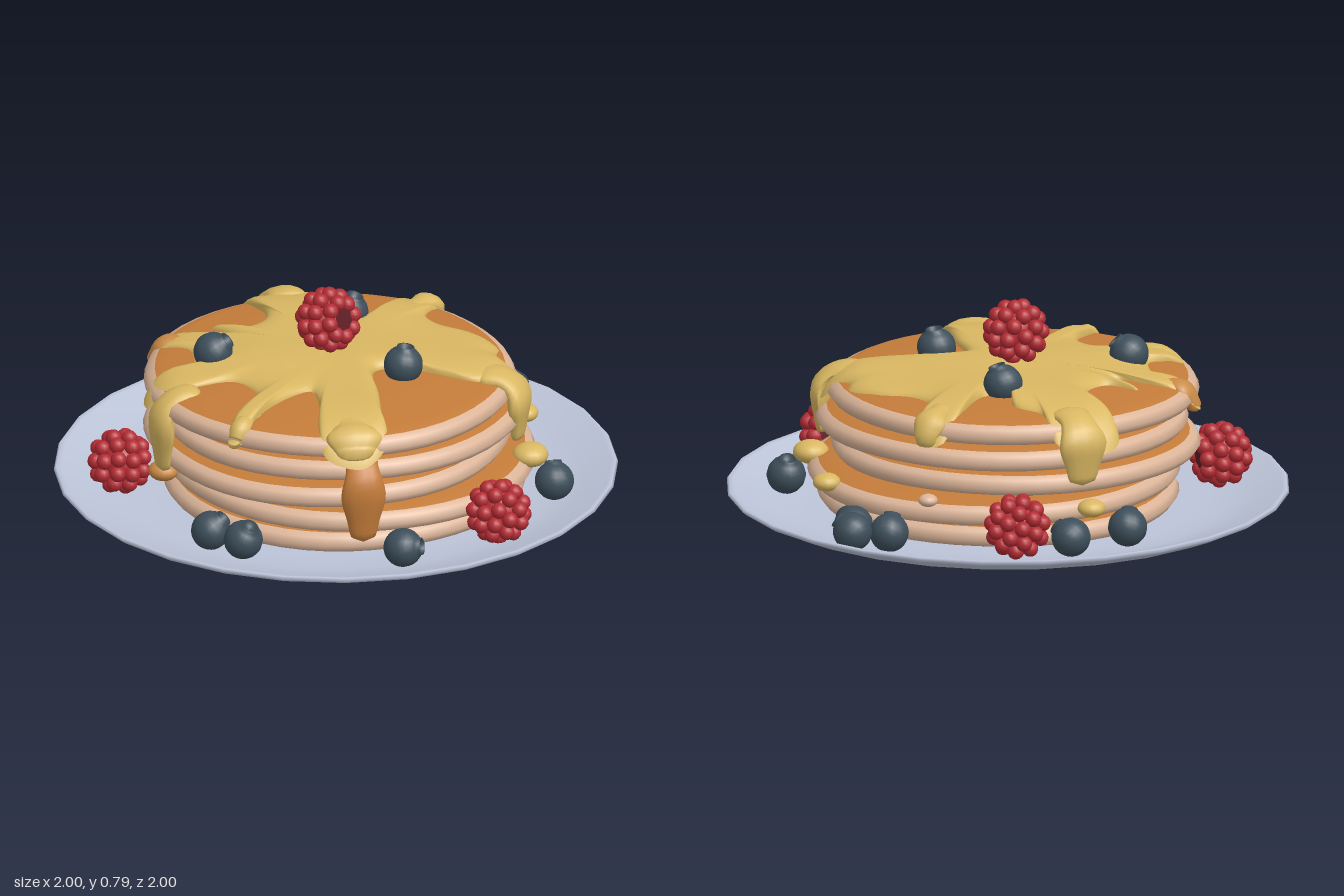
import * as THREE from 'three';

const mat = (name, color, side = THREE.FrontSide) => {
  const m = new THREE.MeshStandardMaterial({ color, side });
  m.name = name;
  return m;
};
const V2 = (pts) => pts.map(([x, y]) => new THREE.Vector2(x, y));

export function createModel() {
  const root = new THREE.Group();
  root.name = 'pancakeStack';
  const plateMat = mat('plateBlueGrey', 0xbcc4d8);
  const crust = mat('pancakeBrown', 0xc47c3a);
  const batter = mat('pancakeTan', 0xdcb599);
  const syrupMat = mat('syrupGold', 0xd9b762, THREE.DoubleSide);
  const amber = mat('syrupAmber', 0xc98a45);
  const blue = mat('blueberry', 0x3d4e5a);
  const red = mat('raspberry', 0xb32c34);
  const darkRed = mat('raspberryHollow', 0x5e1c22);

  const add = (parent, name, geo, material, pos = [0, 0, 0]) => {
    const m = new THREE.Mesh(geo, material);
    m.name = name;
    m.position.set(...pos);
    parent.add(m);
    return m;
  };

  // Plate
  add(root, 'plate', new THREE.LatheGeometry(V2([
    [0, 0], [0.6, 0], [0.72, 0.004], [0.8, 0.02], [0.9, 0.05], [0.99, 0.088], [1.005, 0.1],
    [0.998, 0.11], [0.98, 0.107], [0.88, 0.07], [0.78, 0.047], [0.66, 0.04], [0, 0.04],
  ]), 28, Math.PI / 28), plateMat);

  // Pancakes: brown faces with a tan rim, each slightly uneven
  const profiles = [
    ['bottomFace', crust, [[0, 0], [0.57, 0], [0.61, 0.012]]],
    ['rim', batter, [[0.61, 0.012], [0.645, 0.022], [0.664, 0.048], [0.65, 0.076], [0.625, 0.088]]],
    ['topFace', crust, [[0.625, 0.088], [0.58, 0.101], [0.4, 0.117], [0.2, 0.127], [0, 0.13]]],
  ];
  // base x, y, z and radius scale
  [[0.01, 0.03, 0.03, 0.97], [0.03, 0.115, 0.05, 1], [-0.04, 0.217, 0.0, 0.99],
    [0.0, 0.315, 0.02, 1], [-0.03, 0.41, 0, 1]].forEach(([x, y, z, s], i) => {
    const cake = new THREE.Group();
    cake.name = 'pancake' + (i + 1);
    cake.position.set(x, y, z);
    for (const [name, material, pts] of profiles) {
      const geo = new THREE.LatheGeometry(V2(pts), 48);
      const p = geo.attributes.position;
      for (let k = 0; k < p.count; k++) {
        const a = Math.atan2(p.getX(k), p.getZ(k));
        const f = s * (1 + 0.008 * Math.sin(3 * a + i * 2) + 0.006 * Math.sin(5 * a + i));
        p.setX(k, p.getX(k) * f);
        p.setZ(k, p.getZ(k) * f);
      }
      add(cake, name, geo, material);
    }
    root.add(cake);
  });

  // Syrup pool: outline as [degrees clockwise from the back, radius]
  const outline = [
    [-31, 0.66], [-25, 0.7], [-22, 0.63], [-21.5, 0.5], [-21, 0.42], [-18, 0.4], [-12, 0.52],
    [-9, 0.41], [4, 0.39], [13, 0.45], [14.5, 0.58], [17, 0.68], [25, 0.7], [37, 0.66],
    [38.5, 0.61], [39.7, 0.53], [49.5, 0.45], [52, 0.33], [67, 0.36], [73, 0.65], [83, 0.655],
    [88, 0.49], [100, 0.47], [113, 0.54], [125.5, 0.6], [133, 0.58], [142, 0.67], [152, 0.635],
    [158, 0.55], [160, 0.44], [163, 0.3], [185, 0.21], [203, 0.38], [209, 0.54], [211, 0.66],
    [219, 0.72], [230, 0.695], [233, 0.6], [235.5, 0.42], [243, 0.335], [255, 0.48],
    [257.5, 0.67], [261.5, 0.67], [266, 0.45], [285, 0.43], [292.5, 0.63], [298, 0.71],
    [305, 0.69], [308, 0.53], [316.5, 0.51], [326, 0.54],
  ];
  const edge = new THREE.CatmullRomCurve3(outline.map(([d, r]) => {
    const a = THREE.MathUtils.degToRad(d);
    return new THREE.Vector3(r * Math.sin(a), 0, -r * Math.cos(a));
  }), true);
  const N = 260;
  const rings = [0.01, 0.2, 0.4, 0.55, 0.68, 0.78, 0.86, 0.92, 0.96, 0.985, 1];
  const pos = [], idx = [];
  rings.forEach((t, j) => {
    for (let k = 0; k < N; k++) {
      const e = edge.getPoint(k / N);
      const x = e.x * t, z = e.z * t, r = Math.hypot(x + 0.03, z);
      const cakeTop = 0.54 - 0.09 * r * r - 4 * Math.max(0, r - 0.56) ** 2;
      const thick = 0.034 + 0.008 * Math.sin(11 * x + 1) * Math.sin(10 * z);
      pos.push(x, cakeTop - 0.008 + (thick + 0.004) * Math.sqrt(1 - t ** 8), z);
      const a = j * N + k, b = j * N + (k + 1) % N;
      if (j < rings.length - 1) idx.push(a, b + N, a + N, a, b, b + N);
    }
  });
  const pool = new THREE.BufferGeometry();
  pool.setAttribute('position', new THREE.Float32BufferAttribute(pos, 3));
  pool.setIndex(idx);
  pool.computeVertexNormals();
  add(root, 'syrupPool', pool, syrupMat);

  // Syrup drips: tapered, widened tubes running over the rim
  const drip = (x, z, width, top, bottom, material) => {
    const R = Math.hypot(x, z), S = 20, Q = 12, rad = 0.038;
    const path = new THREE.CatmullRomCurve3([
      [R - 0.13, top], [R - 0.03, top - 0.005], [R + 0.02, top - 0.05],
      [R + 0.025, (top + bottom) / 2 - 0.01], [R + 0.02, bottom],
    ].map(([r, y]) => new THREE.Vector3(0, y, r)));
    const geo = new THREE.TubeGeometry(path, S, rad, Q);
    const p = geo.attributes.position, v = new THREE.Vector3();
    for (let i = 0; i < p.count; i++) {
      const s = Math.floor(i / (Q + 1)) / S, c = path.getPointAt(s);
      const f = Math.sqrt(Math.max(0, 1 - (2 * s - 1) ** 6)) * (0.86 + 0.14 * Math.cos(s * 11));
      v.fromBufferAttribute(p, i).sub(c).multiplyScalar(f);
      v.x *= width / rad;
      v.add(c);
      p.setXYZ(i, v.x, v.y, v.z);
    }
    geo.computeVertexNormals();
    add(root, 'syrupDrip', geo, material).rotation.y = Math.atan2(x, z);
  };
  drip(0.32, 0.56, 0.1, 0.51, 0.27, syrupMat);
  drip(-0.44, 0.5, 0.1, 0.51, 0.43, syrupMat);
  drip(0.32, -0.57, 0.09, 0.51, 0.28, syrupMat);
  drip(-0.63, -0.23, 0.075, 0.5, 0.22, syrupMat);
  drip(-0.29, -0.58, 0.055, 0.5, 0.41, amber);
  drip(0.62, -0.12, 0.06, 0.51, 0.41, syrupMat);
  drip(-0.65, 0.13, 0.04, 0.5, 0.44, syrupMat);
  drip(-0.42, 0.52, 0.08, 0.41, 0.11, crust);

  // Small syrup blobs resting on the lower pancakes
  const ball = new THREE.SphereGeometry(1, 16, 12);
  [[0.37, 0.205, 0.6, 0.065, syrupMat], [0.63, 0.2, 0.33, 0.05, syrupMat],
    [0.32, 0.2, -0.62, 0.05, syrupMat], [0.65, 0.22, -0.14, 0.035, batter],
    [-0.61, 0.2, -0.27, 0.055, amber]].forEach(([x, y, z, s, m]) =>
    add(root, 'syrupBlob', ball, m, [x, y, z]).scale.set(s, s * 0.65, s));

  // Blueberries: round with a small sunken crown
  const skin = [];
  for (let i = 0; i <= 12; i++) {
    const a = (i / 12) * 2.68;
    skin.push([0.07 * Math.sin(a), -0.07 * Math.cos(a)]);
  }
  skin.push([0.031, 0.071], [0.025, 0.069], [0.02, 0.052], [0, 0.048]);
  const berry = new THREE.LatheGeometry(V2(skin), 18);
  [[0.2, 0.115, -0.69], [0.44, 0.12, -0.62], [0.76, 0.11, -0.05], [0.87, 0.125, 0.03],
    [0.76, 0.11, 0.11], [-0.73, 0.11, 0.07], [-0.71, 0.11, 0.21], [-0.38, 0.115, 0.68],
    [0.41, 0.115, 0.68], [-0.33, 0.565, -0.29], [0.25, 0.565, -0.17], [0.04, 0.57, 0.29],
  ].forEach((p, i) => {
    add(root, 'blueberry', berry, blue, p).rotation.set(0.5 + 0.5 * Math.sin(i * 2.1), i * 1.7, 0.7 * Math.cos(i * 1.3));
  });

  // Raspberries: rings of beads around a hollow core opening along +z
  const bead = new THREE.SphereGeometry(0.029, 12, 9);
  const raspberry = (x, y, z, rx, ry) => {
    const g = new THREE.Group();
    g.name = 'raspberry';
    g.position.set(x, y, z);
    g.rotation.set(rx, ry, 0);
    add(g, 'core', new THREE.SphereGeometry(0.086, 16, 12), red).scale.z = 0.9;
    add(g, 'hollow', new THREE.CircleGeometry(0.04, 16), darkRed, [0, 0, 0.081]);
    [[0, 1], [36, 6], [70, 10], [104, 11], [138, 8]].forEach(([deg, n], row) => {
      const a = THREE.MathUtils.degToRad(deg);
      for (let k = 0; k < n; k++) {
        const b = ((k + row * 0.5) / n) * Math.PI * 2;
        add(g, 'bead', bead, red, [0.092 * Math.sin(a) * Math.cos(b),
          0.092 * Math.sin(a) * Math.sin(b), -0.092 * Math.cos(a)]);
      }
    });
    root.add(g);
  };
  raspberry(-0.02, 0.67, -0.02, -0.3, 0);
  raspberry(0, 0.165, 0.79, 0.3, 2.2);
  raspberry(-0.6, 0.165, -0.49, 0.2, 1.0);
  raspberry(0.57, 0.165, -0.48, 0.2, -0.7);

  return root;
}
